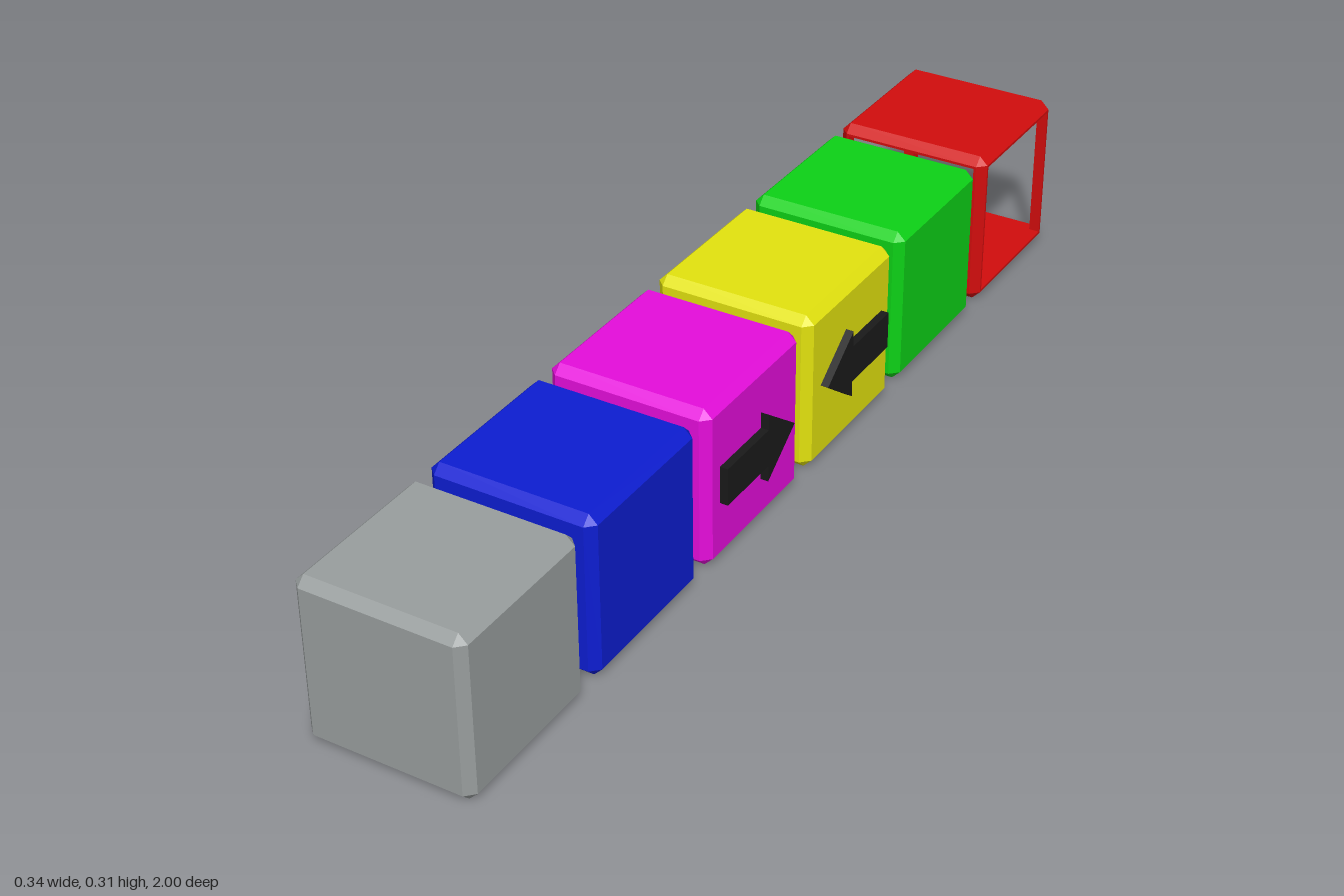
import * as THREE from 'three';
import { ConvexGeometry } from 'three/addons/geometries/ConvexGeometry.js';

const H = 0.154;      // half size of a cube
const F = 0.138;      // half size of its flat faces, inside the chamfer
const W = 0.133;      // half size of the openings in the frame cube
const PITCH = 0.3384; // spacing of the cubes along z
const SIGNS = [-1, 1];

const paint = (color) => new THREE.MeshStandardMaterial({ color, flatShading: true });
const V = (x, y, z) => new THREE.Vector3(x, y, z);

function addMesh(parent, name, geometry, material) {
  const mesh = new THREE.Mesh(geometry, material);
  mesh.name = name;
  parent.add(mesh);
  return mesh;
}

// Cube with all edges and corners cut at 45 degrees
function chamferedCube() {
  const points = [];
  for (const x of SIGNS) for (const y of SIGNS) for (const z of SIGNS) {
    points.push(V(x * H, y * F, z * F), V(x * F, y * H, z * F), V(x * F, y * F, z * H));
  }
  return new ConvexGeometry(points);
}

// Thin chamfered plate closing the top (s = 1) or bottom (s = -1) of the frame
function framePlate(s) {
  const points = [];
  for (const x of SIGNS) for (const z of SIGNS) {
    points.push(V(x * F, s * H, z * F));
    for (const y of [F, W]) points.push(V(x * H, s * y, z * F), V(x * F, s * y, z * H));
  }
  return new ConvexGeometry(points);
}

// Five-sided corner post of the frame
function framePost(x, z) {
  const points = [];
  for (const y of SIGNS) {
    for (const [a, b] of [[W, W], [H, W], [H, F], [F, H], [W, H]]) points.push(V(x * a, y * W, z * b));
  }
  return new ConvexGeometry(points);
}

// Raised arrow pointing to local +x
function arrowGeometry() {
  const shape = new THREE.Shape([
    [-0.114, -0.036], [0.02, -0.036], [0.02, -0.067], [0.11, 0],
    [0.02, 0.067], [0.02, 0.036], [-0.114, 0.036],
  ].map(([x, y]) => new THREE.Vector2(x, y - 0.003)));
  return new THREE.ExtrudeGeometry(shape, { depth: 0.0155, bevelEnabled: false });
}

export function createModel() {
  const model = new THREE.Group();
  model.name = 'cubeRow';
  const black = paint(0x1a1a1a);
  const cubeGeometry = chamferedCube();
  const arrow = arrowGeometry();

  // Row of cubes from front to back
  const cubes = [
    { name: 'greyCube', color: 0x999e9e },
    { name: 'blueCube', color: 0x0d1dd2 },
    { name: 'magentaCube', color: 0xe60ddc, turn: 0 },
    { name: 'yellowCube', color: 0xe3e30e, turn: Math.PI },
    { name: 'greenCube', color: 0x0dd216 },
    { name: 'redFrameCube', color: 0xd20d0d, open: true },
  ];

  cubes.forEach(({ name, color, turn, open }, i) => {
    const group = new THREE.Group();
    group.name = name;
    group.position.set(0, H, (2.5 - i) * PITCH);
    model.add(group);
    const material = paint(color);

    if (open) {
      // Frame open on its four upright sides
      for (const s of SIGNS) {
        addMesh(group, s > 0 ? 'topPlate' : 'bottomPlate', framePlate(s), material);
        for (const z of SIGNS) addMesh(group, 'cornerPost', framePost(s, z), material);
      }
    } else {
      addMesh(group, 'body', cubeGeometry, material);
    }

    // One arrow on each upright side
    if (turn !== undefined) {
      for (let k = 0; k < 4; k++) {
        const side = new THREE.Group();
        side.name = 'arrowSide';
        side.rotation.y = k * Math.PI / 2;
        const mesh = addMesh(side, 'arrow', arrow, black);
        mesh.position.z = H - 0.0005;
        mesh.rotation.z = turn;
        group.add(side);
      }
    }
  });
  return model;
}
